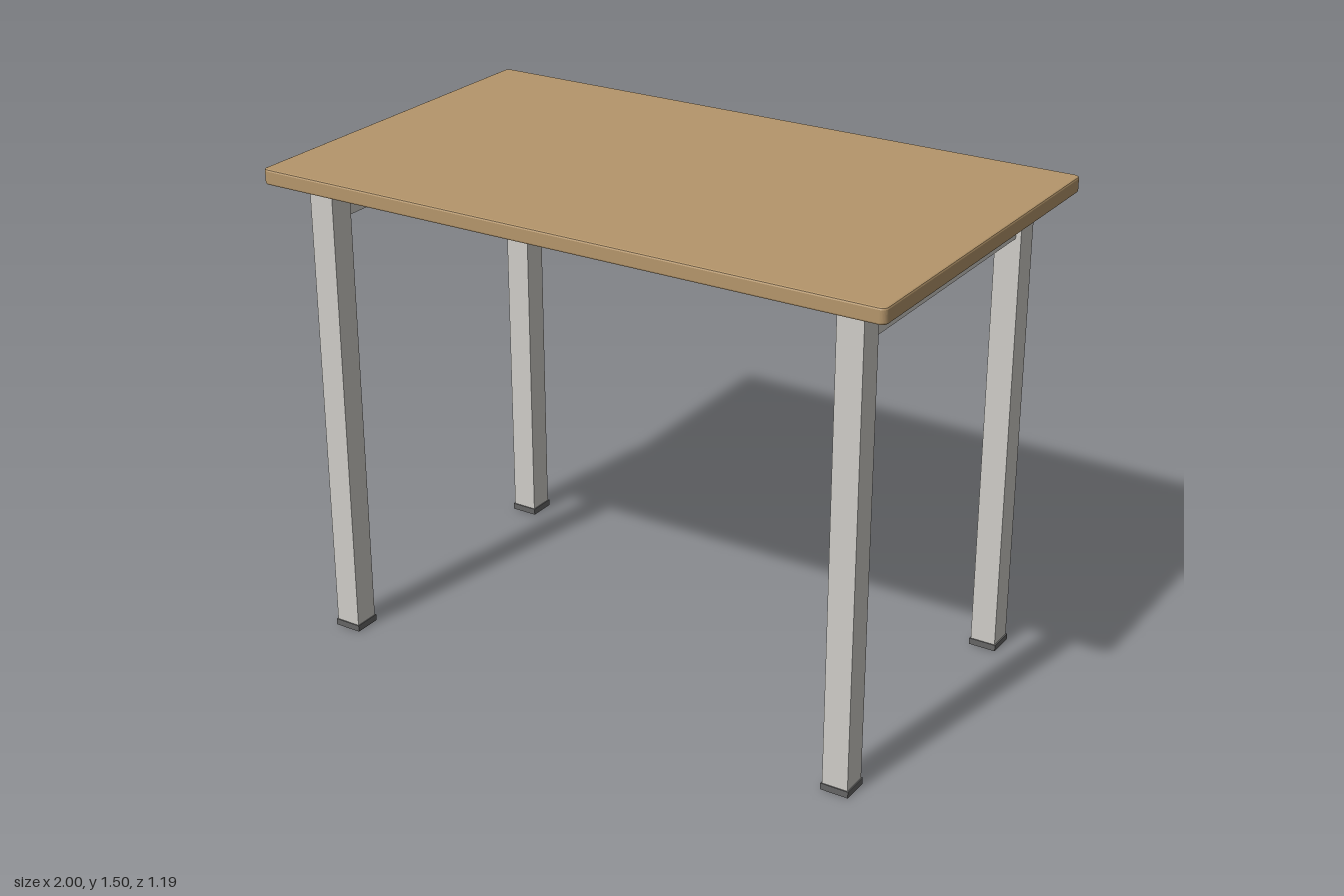
import * as THREE from 'three';

const mat = (name, color) => {
  const m = new THREE.MeshStandardMaterial({ color });
  m.name = name;
  return m;
};

export function createModel() {
  const wood = mat('wood', 0xb5966b);
  const steel = mat('painted steel', 0xcfcdc8);
  const rubber = mat('dark rubber', 0x656565);

  const table = new THREE.Group();
  table.name = 'table';

  const add = (parent, name, geometry, material, x, y, z) => {
    const mesh = new THREE.Mesh(geometry, material);
    mesh.name = name;
    mesh.position.set(x, y, z);
    parent.add(mesh);
    return mesh;
  };

  // Tabletop: rounded rectangle with a fine bevel on its edges
  const bevel = 0.006, thickness = 0.047, top = 1.5;
  const w = 1 - bevel, d = 0.597 - bevel, r = 0.014;
  const outline = new THREE.Shape();
  outline.absarc(w - r, d - r, r, 0, Math.PI / 2);
  outline.absarc(-w + r, d - r, r, Math.PI / 2, Math.PI);
  outline.absarc(-w + r, -d + r, r, Math.PI, Math.PI * 1.5);
  outline.absarc(w - r, -d + r, r, Math.PI * 1.5, Math.PI * 2);
  outline.closePath();
  const slab = new THREE.ExtrudeGeometry(outline, {
    depth: thickness - 2 * bevel, bevelThickness: bevel, bevelSize: bevel,
    bevelSegments: 2, curveSegments: 5,
  });
  slab.rotateX(-Math.PI / 2);
  add(table, 'tabletop', slab, wood, 0, top - thickness + bevel, 0);

  // Legs, each with a foot cap, a mounting plate and two screws
  const legX = 0.86, legZ = 0.472, leg = 0.08, foot = 0.02;
  const plate = 0.006, under = top - thickness, legTop = under - plate;
  const legGeo = new THREE.BoxGeometry(leg, legTop - foot, leg);
  const footGeo = new THREE.BoxGeometry(0.087, foot, 0.087);
  const plateGeo = new THREE.BoxGeometry(0.145, plate, 0.145);
  const screwGeo = new THREE.CylinderGeometry(0.009, 0.009, 0.006, 12);
  for (const sx of [-1, 1]) {
    for (const sz of [-1, 1]) {
      const g = new THREE.Group();
      g.name = `${sz > 0 ? 'front' : 'back'}${sx > 0 ? 'Left' : 'Right'}Leg`;
      g.position.set(sx * legX, 0, sz * legZ);
      add(g, 'legTube', legGeo, steel, 0, (legTop + foot) / 2, 0);
      add(g, 'footCap', footGeo, rubber, 0, foot / 2, 0);
      add(g, 'mountingPlate', plateGeo, steel, 0, under - plate / 2, 0);
      for (const s of [-1, 1]) add(g, 'screw', screwGeo, steel, s * 0.056, legTop - 0.003, 0);
      table.add(g);
    }
  }

  // Square rails between the legs: both ends and the back, open at the front
  const rail = 0.047, railY = 1.361;
  add(table, 'backRail', new THREE.BoxGeometry(2 * legX - leg, rail, rail), steel, 0, railY, -legZ);
  const sideGeo = new THREE.BoxGeometry(rail, rail, 2 * legZ - leg);
  add(table, 'leftRail', sideGeo, steel, legX, railY, 0);
  add(table, 'rightRail', sideGeo, steel, -legX, railY, 0);

  return table;
}
